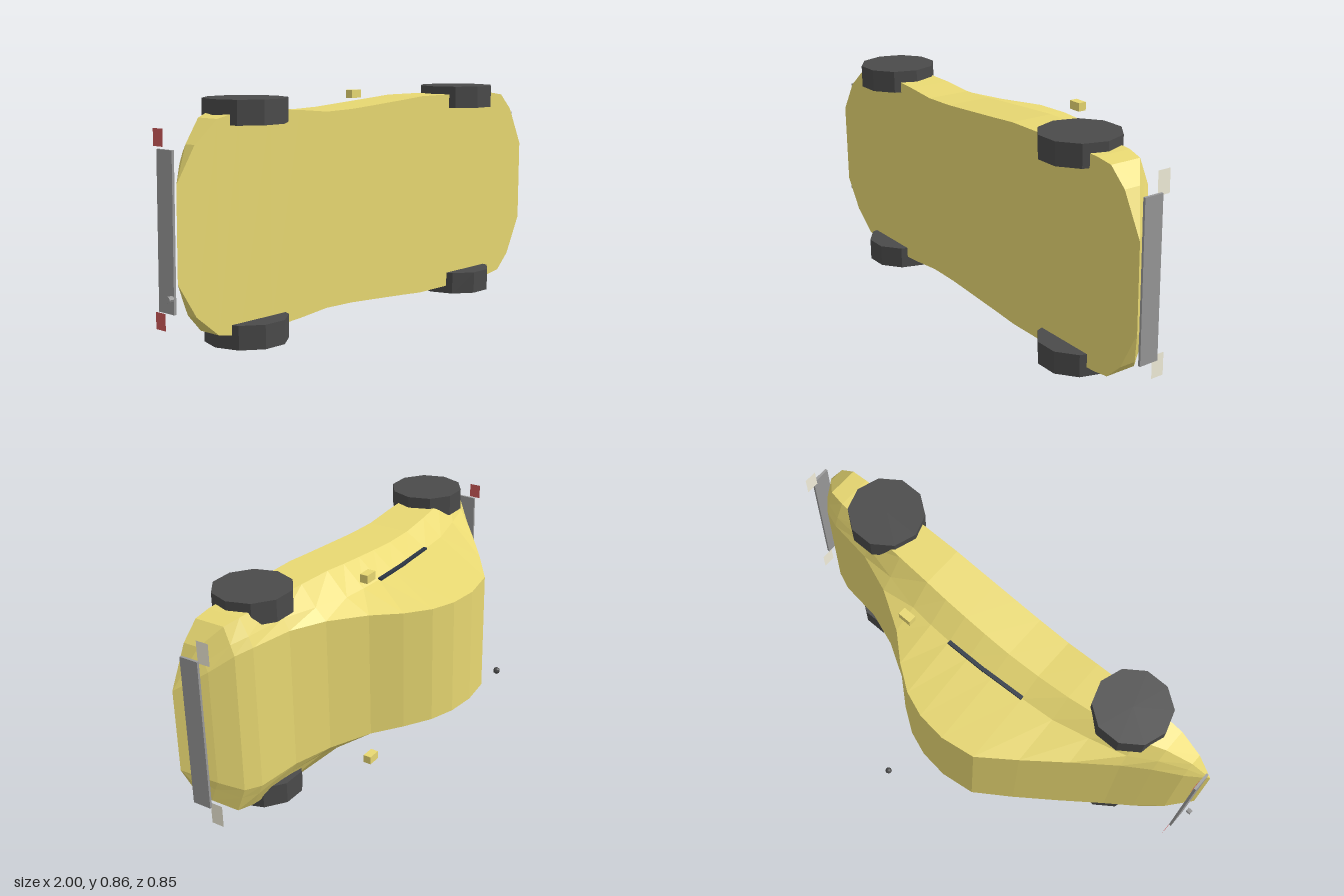
import * as THREE from 'three';

const MID = 0.432; // the car lies on its side: length along x, width along y, its roof towards -z
const FLOOR = 0.34;

// x, roof z, roof half width, belt z, belt half width, shoulder z, shoulder half width
const STATIONS = [
  [-0.98, 0.34, 0.165, 0.34, 0.165, 0.34, 0.165],
  [-0.9, 0.262, 0.22, 0.278, 0.26, 0.295, 0.29],
  [-0.8, 0.19, 0.26, 0.21, 0.32, 0.245, 0.37],
  [-0.7, 0.12, 0.27, 0.15, 0.32, 0.2, 0.39],
  [-0.55, 0.005, 0.27, 0.11, 0.32, 0.18, 0.39],
  [-0.4, -0.11, 0.26, 0.08, 0.31, 0.165, 0.38],
  [-0.26, -0.21, 0.248, 0.07, 0.31, 0.16, 0.367],
  [-0.12, -0.23, 0.243, 0.065, 0.31, 0.155, 0.37],
  [0, -0.217, 0.243, 0.065, 0.31, 0.155, 0.378],
  [0.1, -0.18, 0.245, 0.065, 0.31, 0.157, 0.385],
  [0.2, -0.11, 0.25, 0.07, 0.31, 0.16, 0.392],
  [0.3, -0.02, 0.26, 0.08, 0.31, 0.165, 0.4],
  [0.45, 0.07, 0.275, 0.115, 0.32, 0.175, 0.4],
  [0.6, 0.125, 0.285, 0.15, 0.33, 0.185, 0.4],
  [0.78, 0.148, 0.29, 0.165, 0.33, 0.2, 0.395],
  [0.85, 0.175, 0.28, 0.19, 0.32, 0.215, 0.385],
  [0.92, 0.24, 0.23, 0.255, 0.265, 0.275, 0.32],
  [1.0, 0.34, 0.165, 0.34, 0.165, 0.34, 0.165],
];

const paint = (color, opts = {}) => new THREE.MeshStandardMaterial({ color, flatShading: true, ...opts });

// Closed loft through the cross-sections
function bodyGeometry() {
  const pos = [], idx = [], n = 8;
  for (const [x, rz, rw, bz, bw, sz, sw] of STATIONS) {
    const half = [[sw, FLOOR], [sw, sz], [bw, bz], [rw, rz]];
    for (const [w, z] of half) pos.push(x, MID + w, z);
    for (const [w, z] of half.reverse()) pos.push(x, MID - w, z);
  }
  for (let i = 0; i < STATIONS.length - 1; i++) {
    for (let j = 0; j < n; j++) {
      const k = (j + 1) % n;
      const a = i * n + j, b = i * n + k, c = b + n, d = a + n;
      idx.push(a, c, b, a, d, c);
    }
  }
  const g = new THREE.BufferGeometry();
  g.setAttribute('position', new THREE.Float32BufferAttribute(pos, 3));
  g.setIndex(idx);
  const flat = g.toNonIndexed();
  flat.computeVertexNormals();
  return flat;
}

export function createModel() {
  const group = new THREE.Group();
  const yellow = paint(0xe8d872);
  const rubber = paint(0x4a4a4a);
  const metal = paint(0x999999);
  const glass = paint(0x2c3644, { side: THREE.DoubleSide });
  const lamp = paint(0xf4f0dc, { side: THREE.DoubleSide });
  const red = paint(0xd05a5a, { side: THREE.DoubleSide });

  const add = (name, geo, mat, x, y, z) => {
    const m = new THREE.Mesh(geo, mat);
    m.name = name;
    m.position.set(x, y, z);
    group.add(m);
    return m;
  };

  add('body', bodyGeometry(), yellow, 0, 0, 0);

  // Ten-sided wheels
  const wheel = new THREE.CylinderGeometry(0.152, 0.152, 0.087, 10, 1, false, Math.PI / 2);
  for (const x of [-0.61, 0.61])
    for (const s of [-1, 1]) add('wheel', wheel, rubber, x, MID + s * 0.388, 0.276);

  // Mirrors, lamps and window trims on both sides
  const mirror = new THREE.BoxGeometry(0.055, 0.033, 0.033);
  const headlight = new THREE.PlaneGeometry(0.053, 0.088);
  const taillight = new THREE.PlaneGeometry(0.05, 0.06);
  const trim = new THREE.BoxGeometry(0.18, 0.012, 0.016);
  for (const s of [-1, 1]) {
    add('mirror', mirror, yellow, 0.262, MID + s * 0.399, 0.008);
    add('headlight', headlight, lamp, 0.967, MID + s * 0.333, 0.213).rotation.y = Math.PI / 2;
    add('taillight', taillight, red, -0.96, MID + s * 0.312, 0.225).rotation.y = -Math.PI / 2;
    add('windowTrim', trim, glass, -0.17, MID + s * 0.31, 0.067).rotation.y = 0.045;
    add('windowTrim', trim, glass, 0.01, MID + s * 0.31, 0.062);
  }

  // Quarter window on the right side
  const pane = new THREE.BufferGeometry();
  pane.setAttribute('position', new THREE.Float32BufferAttribute([
    -0.25, 0.116, 0.065, -0.1, 0.116, 0.065, -0.14, 0.176, -0.19, -0.25, 0.176, -0.195,
  ], 3));
  pane.setIndex([0, 2, 1, 0, 3, 2]);
  pane.computeVertexNormals();
  add('sideWindow', pane, glass, 0, 0, 0);

  // Bumpers
  add('frontBumper', new THREE.BoxGeometry(0.01, 0.605, 0.078), metal, 0.978, MID, 0.268);
  add('rearBumper', new THREE.BoxGeometry(0.01, 0.55, 0.078), metal, -0.965, MID, 0.268);

  // Exhaust pipe and antenna ball
  const pipe = add('exhaust', new THREE.CylinderGeometry(0.011, 0.011, 0.02, 8), metal, -0.99, 0.215, 0.31);
  pipe.rotation.z = Math.PI / 2;
  add('antennaBall', new THREE.SphereGeometry(0.013, 8, 6), rubber, 0.003, MID, -0.413);

  return group;
}
